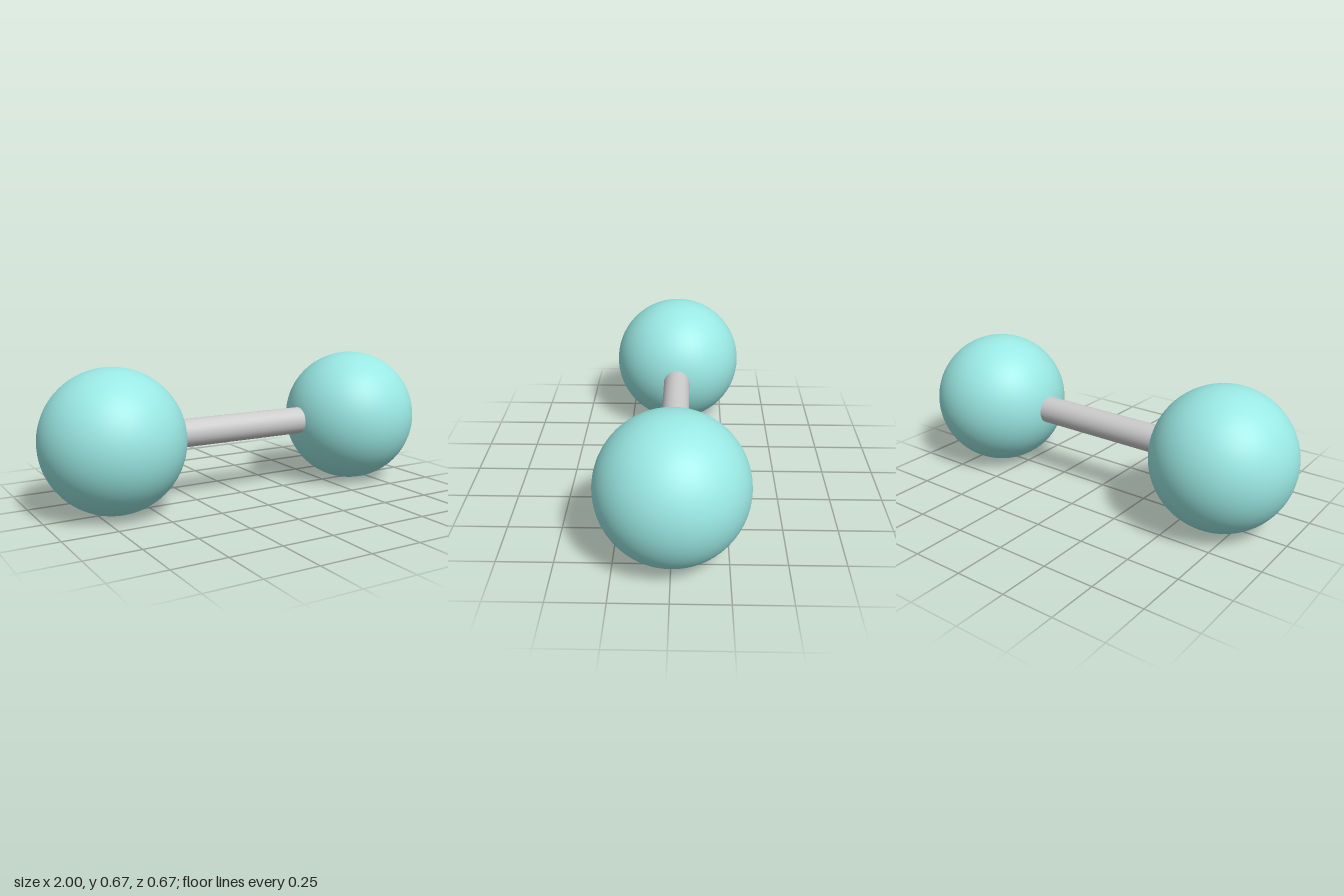
import * as THREE from 'three';

const RADIUS = 1 / 3;      // ball radius
const OFFSET = 2 / 3;      // ball centre from the middle
const ROD_RADIUS = 0.067;

export function createModel() {
  const model = new THREE.Group();
  model.name = 'dumbbellModel';

  const ballMaterial = new THREE.MeshStandardMaterial({ color: 0x9ae8e3 });
  const rodMaterial = new THREE.MeshStandardMaterial({ color: 0xcccccc });

  // Two matching smooth balls
  const ballGeometry = new THREE.SphereGeometry(RADIUS, 64, 48);
  for (const [name, side] of [['leftBall', 1], ['rightBall', -1]]) {
    const ball = new THREE.Mesh(ballGeometry, ballMaterial);
    ball.name = name;
    ball.position.set(side * OFFSET, RADIUS, -0.004);
    model.add(ball);
  }

  // Rod joining the balls, its ends sunk just inside them
  const rodGeometry = new THREE.CylinderGeometry(ROD_RADIUS, ROD_RADIUS, 0.72, 32);
  rodGeometry.rotateZ(Math.PI / 2);
  const rod = new THREE.Mesh(rodGeometry, rodMaterial);
  rod.name = 'connectingRod';
  rod.position.set(0, RADIUS, -0.004);
  model.add(rod);

  return model;
}
